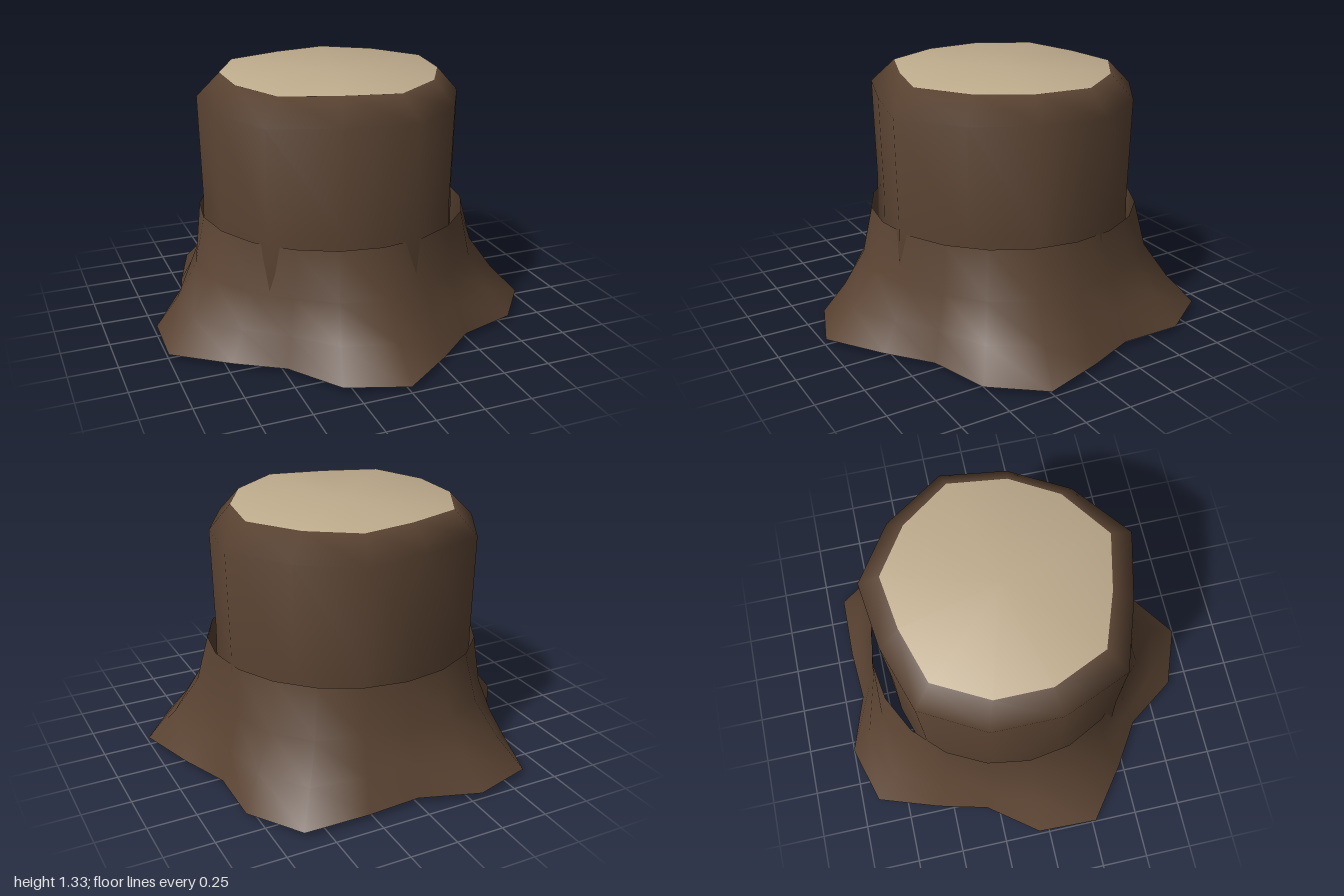
import * as THREE from 'three';

const bark = new THREE.MeshStandardMaterial({ color: 0x5a4332, side: THREE.DoubleSide });
bark.name = 'bark';
const wood = new THREE.MeshStandardMaterial({ color: 0xbfac8d });
wood.name = 'cutWood';

// Joins horizontal rings (listed top to bottom, each running from +x towards +z)
// into a smooth wall; optional caps share its vertices.
function loft(rings, capped) {
  const n = rings[0].length;
  const geo = new THREE.BufferGeometry();
  const points = rings.flat();
  const index = [];
  for (let r = 0; r < rings.length - 1; r++) {
    for (let i = 0; i < n; i++) {
      const a = r * n + i, b = r * n + (i + 1) % n;
      index.push(a, b, a + n, b, b + n, a + n);
    }
  }
  geo.addGroup(0, index.length, 0);
  if (capped) {
    const start = index.length;
    const last = (rings.length - 1) * n;
    const top = points.length, bottom = top + 1;
    for (const ring of [rings[0], rings[rings.length - 1]]) {
      const c = new THREE.Vector3();
      ring.forEach((p) => c.addScaledVector(p, 1 / n));
      points.push(c);
    }
    for (let i = 0; i < n; i++) {
      const j = (i + 1) % n;
      index.push(top, j, i, bottom, last + i, last + j);
    }
    geo.addGroup(start, index.length - start, 1);
  }
  geo.setFromPoints(points);
  geo.setIndex(index);
  geo.computeVertexNormals();
  return geo;
}

export function createModel() {
  const group = new THREE.Group();
  group.name = 'treeStump';
  const cz = -0.057;

  // Trunk: uneven twelve-sided log, bevelled at both ends, slightly waisted
  const rim = [
    [0.65, 0.12], [0.48, 0.42], [0.18, 0.655], [-0.18, 0.57], [-0.525, 0.455], [-0.67, 0.11],
    [-0.67, -0.25], [-0.49, -0.57], [-0.15, -0.68], [0.2, -0.725], [0.49, -0.53], [0.697, -0.22],
  ];
  const face = [
    [0.54, 0.1], [0.4, 0.34], [0.14, 0.525], [-0.15, 0.46], [-0.43, 0.36], [-0.555, 0.08],
    [-0.555, -0.21], [-0.41, -0.48], [-0.12, -0.57], [0.16, -0.61], [0.4, -0.45], [0.578, -0.2],
  ];
  const ring = (outline, y, s = 1) =>
    outline.map(([x, z]) => new THREE.Vector3(x * s, y, (z - cz) * s + cz));
  const trunk = new THREE.Mesh(
    loft([ring(face, 1.33), ring(rim, 1.205), ring(rim, 0.665, 0.983), ring(rim, 0.125), ring(face, 0)], true),
    [bark, wood],
  );
  trunk.name = 'trunk';
  group.add(trunk);

  // Root flare: open skirt that spreads into five lobes at the ground
  const reach = [0.9, 1.052, 0.99, 0.838];
  const levels = [[0.61, 0], [0.36, 0.19], [0.18, 0.57], [0.03, 1]];
  const rings = levels.map(([y, t]) => Array.from({ length: 20 }, (_, i) => {
    const a = (i / 20) * Math.PI * 2;
    const r = THREE.MathUtils.lerp(0.708, reach[i % 4], t);
    return new THREE.Vector3(r * Math.cos(a), y, cz + r * Math.sin(a));
  }));
  const flare = new THREE.Mesh(loft(rings, false), bark);
  flare.name = 'rootFlare';
  group.add(flare);

  return group;
}
